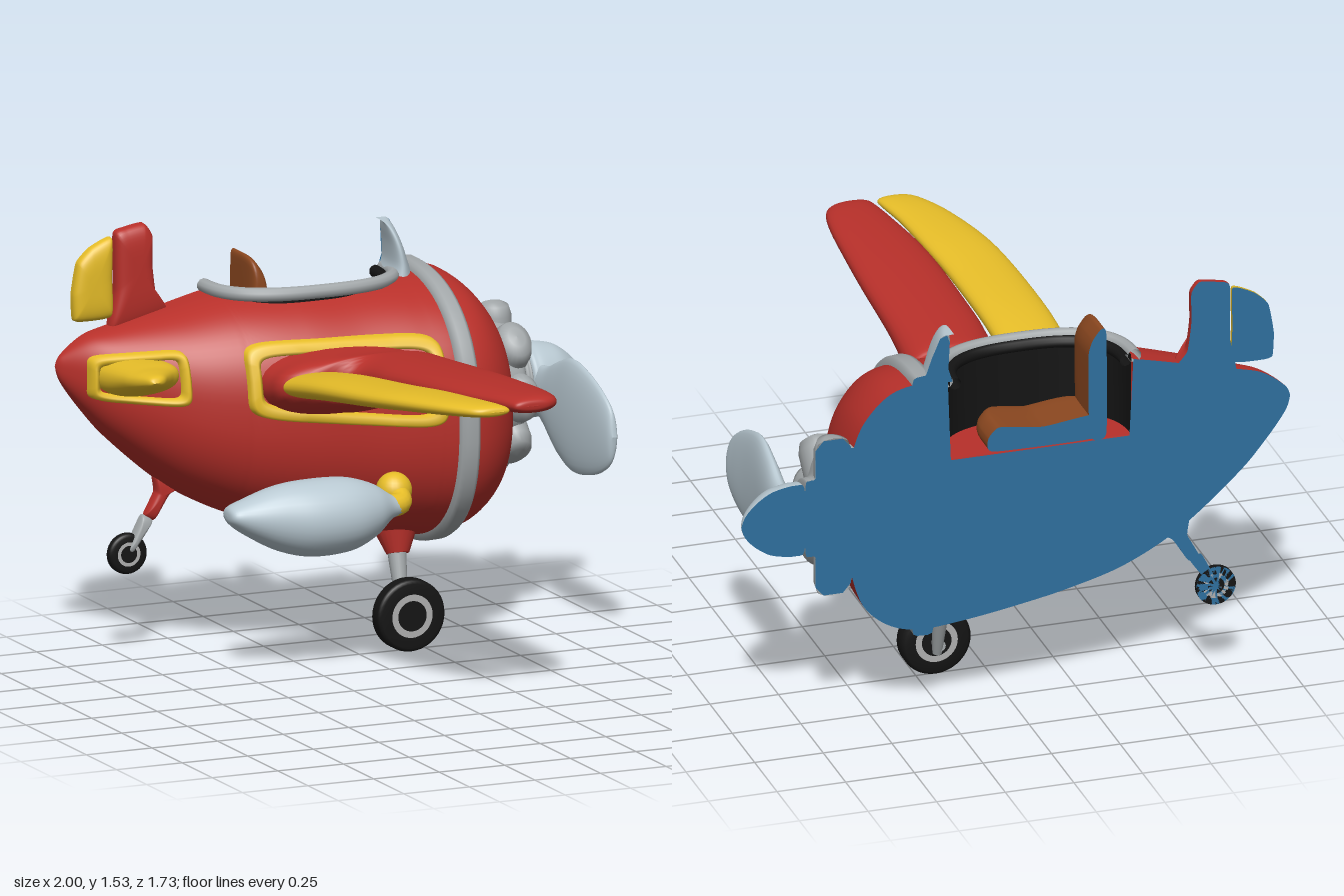
import * as THREE from 'three';

const CUT = -0.85; // the aircraft is halved along this z plane
const RED = 0xb8302a, YELLOW = 0xe6bd28, PALE = 0xb9c9d2, GREY = 0xa3a8aa;
const BLUE = 0x2f709f, BLACK = 0x141414, BROWN = 0x8c4820;
const V = (x, y, z) => new THREE.Vector3(x, y, z);

export function createModel() {
  const model = new THREE.Group();

  function add(name, geo, color, parent = model) {
    const m = new THREE.Mesh(geo, new THREE.MeshStandardMaterial({ color, side: THREE.DoubleSide }));
    m.name = name;
    parent.add(m);
    return m;
  }

  // Skin through a list of equally long point loops
  function loft(loops, closed = true) {
    const n = loops[0].length, idx = [];
    for (let i = 0; i < loops.length - 1; i++)
      for (let j = 0; j < (closed ? n : n - 1); j++) {
        const a = i * n + j, b = i * n + (j + 1) % n;
        idx.push(a, b, a + n, b, b + n, a + n);
      }
    const g = new THREE.BufferGeometry().setFromPoints(loops.flat());
    g.setIndex(idx);
    g.computeVertexNormals();
    return g;
  }

  // Smooth rows of numbers (Catmull-Rom on every column)
  function smooth(rows, steps) {
    const out = [], at = i => rows[Math.min(Math.max(i, 0), rows.length - 1)];
    for (let i = 0; i < rows.length - 1; i++)
      for (let s = 0; s < steps; s++) {
        const t = s / steps;
        out.push(rows[i].map((b, k) => {
          const a = at(i - 1)[k], c = at(i + 1)[k], d = at(i + 2)[k];
          return b + 0.5 * t * (c - a + t * (2 * a - 5 * b + 4 * c - d + t * (3 * (b - c) + d - a)));
        }));
      }
    out.push(rows[rows.length - 1]);
    return out;
  }

  const pw = (v, e) => Math.sign(v) * Math.abs(v) ** e;

  // Flat blue face on the cut plane
  function cap(name, pts) {
    add(name + 'CutFace', new THREE.ShapeGeometry(new THREE.Shape(pts.map(p => new THREE.Vector2(p[0], p[1])))), BLUE)
      .position.z = CUT;
  }

  // Half body lying along x; rows are [x, bottom, top, halfWidth]
  function halfHull(rows, e, hole = () => 0) {
    return loft(rows.map(([x, b, t, w]) => {
      const h = Math.min(hole(x) / Math.max(w, 1e-4), 1);
      const end = Math.PI - Math.asin(h ** (e / 2));
      return Array.from({ length: 41 }, (_, j) => {
        const a = end * j / 40;
        return V(x, (b + t) / 2 - (t - b) / 2 * pw(Math.cos(a), 2 / e), CUT + w * Math.abs(Math.sin(a)) ** (2 / e));
      });
    }), false);
  }
  const outline = rows => [...rows.map(r => [r[0], r[1]]), ...rows.map(r => [r[0], r[2]]).reverse()];
  function halfRound(name, color, rows, y) {
    const r = smooth(rows.map(([x, q]) => [x, y - q, y + q, q]), 6);
    add(name, halfHull(r, 2), color);
    cap(name, outline(r));
  }

  // Long part running along z; rows are [z, x0, x1, yCentre, halfHeight]
  function spar(name, color, rows, e = 2.3) {
    add(name, loft(smooth(rows, 6).map(([z, x0, x1, y, h]) => Array.from({ length: 32 }, (_, j) => {
      const a = j / 32 * Math.PI * 2;
      return V((x0 + x1) / 2 + (x1 - x0) / 2 * pw(Math.cos(a), 2 / e), y + h * pw(Math.sin(a), 2 / e), z);
    }))), color);
  }

  // Rounded slab growing from the cut plane out of an xy outline
  function slab(name, color, pts, depth, p = 5) {
    const o = new THREE.CatmullRomCurve3(pts.map(q => V(q[0], q[1], 0)), true, 'catmullrom', 0.25).getPoints(60).slice(0, -1);
    const c = o.reduce((s, q) => s.add(q), V(0, 0, 0)).divideScalar(o.length);
    add(name, loft(Array.from({ length: 13 }, (_, i) => {
      const a = i / 12 * Math.PI / 2, s = Math.cos(a) ** (2 / p);
      return o.map(q => V(c.x + (q.x - c.x) * s, c.y + (q.y - c.y) * s, CUT + depth * Math.sin(a) ** (2 / p)));
    })), color);
    cap(name, o.map(q => [q.x, q.y]));
  }

  // Fuselage with cockpit opening
  const E = 2.4;
  const hull = smooth([[-1, 1.05, 1.05, 0], [-0.98, 0.99, 1.09, 0.03], [-0.9, 0.88, 1.15, 0.11], [-0.8, 0.77, 1.18, 0.19],
    [-0.6, 0.6, 1.23, 0.32], [-0.4, 0.49, 1.275, 0.4], [-0.2, 0.43, 1.29, 0.45], [0, 0.39, 1.29, 0.48], [0.2, 0.36, 1.295, 0.515],
    [0.35, 0.35, 1.29, 0.53], [0.46, 0.38, 1.26, 0.5], [0.55, 0.46, 1.17, 0.42], [0.595, 0.58, 1.06, 0.31],
    [0.6, 0.67, 0.98, 0.2], [0.6, 0.83, 0.83, 0]], 14);
  const hole = x => {
    const u = Math.abs((x + 0.09) / 0.33);
    return u < 1 ? 0.245 * (1 - u ** 2.6) ** (1 / 2.6) : 0;
  };
  add('fuselage', halfHull(hull, E, hole), RED);
  cap('fuselage', outline(hull.map(r => (hole(r[0]) ? [r[0], r[1], 0.98] : r))));

  function section(x) {
    const i = Math.max(1, hull.findIndex(r => r[0] >= x)), a = hull[i - 1], b = hull[i];
    return a.map((v, k) => v + (b[k] - v) * (x - a[0]) / (b[0] - a[0] || 1));
  }
  function skinZ(x, y) {
    const [, b, t, w] = section(x), v = Math.min(Math.abs(y - (b + t) / 2) / ((t - b) / 2), 1);
    return CUT + w * (1 - v ** E) ** (1 / E);
  }

  // Hoop around the nose
  const hoop = [[0.3, 0], [0.305, 0.02], [0.32, 0.025], [0.36, 0.025], [0.372, 0.02], [0.377, 0]].map(([x, d]) => {
    const [, b, t, w] = section(x);
    return [x, b - d, t + d, w + d];
  });
  add('noseHoop', halfHull(hoop, E), GREY);
  cap('noseHoop', outline(hoop));

  // Cockpit well, floor, rim and padding
  const edge = Array.from({ length: 49 }, (_, i) => {
    const x = -0.09 - 0.33 * Math.cos(i / 48 * Math.PI);
    return V(x, 1.285, CUT + hole(x));
  });
  const level = (y, k = 1) => edge.map(p => V(-0.09 + (p.x + 0.09) * k, y, CUT + (p.z - CUT) * k));
  add('cockpitWall', loft([level(1.29), level(0.98)], false), BLACK);
  add('cockpitFloor', loft([level(0.985), level(0.985, 0.01)], false), RED);
  add('cockpitRim', new THREE.TubeGeometry(new THREE.CatmullRomCurve3(level(1.283, 1.04)), 80, 0.025, 10), GREY);
  add('cockpitPadding', new THREE.TubeGeometry(new THREE.CatmullRomCurve3(level(1.27, 0.94)), 80, 0.022, 10), BLACK);
  slab('seatCushion', BROWN, [[-0.3, 0.99], [0.08, 0.99], [0.1, 1.04], [0.06, 1.08], [-0.1, 1.06], [-0.3, 1.08]], 0.2);
  slab('seatBack', BROWN, [[-0.33, 1], [-0.27, 1], [-0.265, 1.3], [-0.28, 1.36], [-0.31, 1.4], [-0.33, 1.38]], 0.19);

  // Windshield, thinning towards the top
  add('windshield', loft(smooth([[1.28, 0.23, 0.34, 0.17], [1.32, 0.245, 0.325, 0.165], [1.38, 0.245, 0.305, 0.155],
    [1.43, 0.24, 0.285, 0.13], [1.455, 0.242, 0.268, 0.09], [1.46, 0.253, 0.255, 0]], 5).map(([y, x0, x1, w]) =>
    Array.from({ length: 21 }, (_, j) => {
      const a = j / 20 * Math.PI;
      return V((x0 + x1) / 2 + (x1 - x0) / 2 * Math.cos(a) - 0.03 * Math.sin(a), y, CUT + w * Math.sin(a));
    })), false), PALE);
  cap('windshield', [[0.23, 1.28], [0.34, 1.28], [0.305, 1.38], [0.275, 1.45], [0.25, 1.46], [0.24, 1.43], [0.245, 1.33]]);

  // Fin and rudder
  slab('fin', RED, [[-0.8, 1.15], [-0.58, 1.2], [-0.625, 1.27], [-0.64, 1.38], [-0.64, 1.49], [-0.67, 1.53], [-0.74, 1.52],
    [-0.78, 1.5], [-0.78, 1.3]], 0.055, 3.5);
  slab('rudder', YELLOW, [[-0.9, 1.2], [-0.79, 1.21], [-0.79, 1.35], [-0.79, 1.49], [-0.87, 1.46], [-0.92, 1.41], [-0.94, 1.3], [-0.935, 1.21]], 0.045, 3.5);

  // Raised yellow frames that follow the fuselage skin
  function skinFrame(name, x0, x1, yl, hl, yr, hr, width) {
    const ring = (inset, lift) => Array.from({ length: 96 }, (_, j) => {
      const a = j / 96 * Math.PI * 2, u = pw(Math.cos(a), 0.28), v = pw(Math.sin(a), 0.28), f = (u + 1) / 2;
      const x = (x0 + x1) / 2 + ((x1 - x0) / 2 - inset) * u;
      const y = yl + (yr - yl) * f + (hl + (hr - hl) * f - inset) * v;
      return V(x, y, skinZ(x, y) + lift);
    });
    add(name, loft([ring(0, -0.01), ring(0.003, 0.02), ring(0.012, 0.03), ring(width - 0.012, 0.03), ring(width, 0.02), ring(width, -0.01)]), YELLOW);
  }
  skinFrame('wingFrame', -0.44, 0.26, 1.02, 0.13, 0.98, 0.165, 0.045);
  skinFrame('tailplaneFrame', -0.92, -0.62, 1.02, 0.08, 1.03, 0.1, 0.03);

  // Wing, flap and tailplane
  spar('wing', RED, [[-0.54, -0.4, 0.21, 1, 0.12], [-0.42, -0.39, 0.21, 1, 0.12], [-0.33, -0.38, 0.21, 1.02, 0.1],
    [-0.27, -0.3, 0.2, 1.035, 0.09], [-0.22, -0.15, 0.195, 1.05, 0.085], [0, -0.135, 0.185, 1.085, 0.068], [0.3, -0.12, 0.185, 1.12, 0.055],
    [0.5, -0.1, 0.18, 1.14, 0.047], [0.7, -0.06, 0.17, 1.158, 0.038], [0.81, -0.035, 0.15, 1.165, 0.032],
    [0.85, -0.02, 0.11, 1.167, 0.02], [0.857, 0.02, 0.06, 1.167, 0]]);
  spar('flap', YELLOW, [[-0.265, -0.39, -0.2, 1.04, 0], [-0.26, -0.4, -0.17, 1.04, 0.035], [-0.22, -0.4, -0.16, 1.045, 0.045],
    [0, -0.395, -0.155, 1.08, 0.045], [0.3, -0.37, -0.135, 1.115, 0.04], [0.5, -0.335, -0.11, 1.138, 0.036], [0.7, -0.27, -0.085, 1.155, 0.03],
    [0.82, -0.21, -0.06, 1.162, 0.024], [0.865, -0.17, -0.055, 1.163, 0.016], [0.875, -0.12, -0.08, 1.163, 0]]);
  spar('tailplane', YELLOW, [[-0.78, -0.9, -0.64, 1.02, 0.07], [-0.68, -0.89, -0.64, 1.025, 0.07], [-0.58, -0.88, -0.65, 1.04, 0.055],
    [-0.52, -0.875, -0.7, 1.05, 0.042], [-0.46, -0.865, -0.745, 1.06, 0.033], [-0.4, -0.85, -0.785, 1.07, 0.02], [-0.38, -0.835, -0.82, 1.07, 0]]);

  // Radial engine with rounded cylinders
  halfRound('engineCore', GREY, [[0.58, 0.25], [0.68, 0.24], [0.71, 0.2], [0.73, 0.15], [0.75, 0.145], [0.765, 0.13], [0.77, 0]], 0.83);
  const jug = [[0.06, 0.1], [0.066, 0.16], [0.066, 0.25], [0.055, 0.285], [0.03, 0.297], [0, 0.3]].map(p => new THREE.Vector2(...p));
  for (let i = 0; i <= 4; i++) {
    const start = i === 0 || i === 4;
    const m = add('engineCylinder', new THREE.LatheGeometry(jug, 24, start ? -Math.PI / 2 : 0, start ? Math.PI : Math.PI * 2), GREY);
    m.scale.z = 1.3;
    m.position.set(0.665, 0.825, CUT);
    m.rotation.x = i * Math.PI / 4;
    if (i === 4) m.rotation.set(0, 0, Math.PI);
  }
  for (const s of [1, -1]) cap('engineCylinder', [[0.6, 0.825 + 0.15 * s], [0.73, 0.825 + 0.15 * s], [0.73, 0.825 + 0.26 * s],
    [0.7, 0.825 + 0.295 * s], [0.63, 0.825 + 0.295 * s], [0.6, 0.825 + 0.26 * s]]);

  // Spinner and propeller blade
  halfRound('spinner', PALE, [[0.765, 0], [0.77, 0.12], [0.8, 0.135], [0.85, 0.13], [0.9, 0.115], [0.95, 0.08], [0.985, 0.04], [1, 0]], 0.83);
  spar('propellerBlade', PALE, [[-0.78, 0.77, 0.85, 0.82, 0.08], [-0.68, 0.765, 0.845, 0.8, 0.11], [-0.58, 0.762, 0.84, 0.785, 0.165],
    [-0.47, 0.765, 0.835, 0.782, 0.2], [-0.36, 0.775, 0.835, 0.775, 0.185], [-0.26, 0.79, 0.84, 0.765, 0.145],
    [-0.2, 0.805, 0.843, 0.76, 0.09], [-0.18, 0.82, 0.835, 0.76, 0]], 2);

  // Drop tank on a yellow mount
  add('dropTank', loft(smooth([[-0.61, 0.6, 0, 0], [-0.6, 0.6, 0.03, 0.05], [-0.54, 0.59, 0.065, 0.075], [-0.42, 0.575, 0.115, 0.11],
    [-0.3, 0.565, 0.135, 0.135], [-0.16, 0.565, 0.13, 0.13], [-0.06, 0.57, 0.095, 0.095], [0.01, 0.575, 0.045, 0.045],
    [0.06, 0.57, 0.022, 0.022], [0.085, 0.57, 0, 0]], 6).map(([x, y, h, w]) => Array.from({ length: 32 }, (_, j) => {
    const a = j / 32 * Math.PI * 2;
    return V(x, y + h * Math.cos(a), -0.27 + w * Math.sin(a));
  }))), PALE);
  add('tankMount', new THREE.TubeGeometry(new THREE.CatmullRomCurve3([V(0.07, 0.61, -0.46), V(0.07, 0.605, -0.35), V(0.06, 0.58, -0.29),
    V(0, 0.575, -0.27)]), 20, 0.04, 16), YELLOW);
  add('tankMountBall', new THREE.SphereGeometry(0.063, 24, 16), YELLOW).position.set(0.068, 0.61, -0.36);

  // Landing gear
  function rod(name, color, a, b, r0, r1) {
    const m = add(name, new THREE.CylinderGeometry(r1, r0, a.distanceTo(b), 20), color);
    m.position.copy(a).lerp(b, 0.5);
    m.quaternion.setFromUnitVectors(V(0, 1, 0), b.clone().sub(a).normalize());
  }
  function wheel(name, x, y, z, r, depth, half) {
    const g = new THREE.Group();
    g.name = name;
    g.position.set(x, y, z);
    g.rotation.x = Math.PI / 2;
    model.add(g);
    const lo = half ? 0 : -depth, c = depth * 0.4;
    const tyre = [[0.6 * r, lo], [half ? r : r - c, lo], [r, half ? 0 : lo + c], [r, depth - c], [r - c * 0.3, depth - c * 0.3], [r - c, depth], [0.6 * r, depth]];
    add('tyre', new THREE.LatheGeometry(tyre.map(p => new THREE.Vector2(...p)), 40), BLACK, g);
    const disc = (n, q, d, col) => {
      add(n, new THREE.CylinderGeometry(q, q, d - (half ? 0 : -d), 32), col, g).position.y = half ? d / 2 : 0;
    };
    disc('wheelRim', 0.66 * r, depth * 0.98, 0xb0b0b0);
    disc('wheelHub', 0.42 * r, depth * 1.02, BLACK);
  }
  wheel('mainWheel', 0.18, 0.13, -0.485, 0.128, 0.035, false);
  rod('mainStrut', GREY, V(0.185, 0.1, -0.54), V(0.195, 0.36, -0.62), 0.017, 0.036);
  rod('mainAxle', GREY, V(0.18, 0.13, -0.56), V(0.18, 0.13, -0.48), 0.02, 0.02);
  rod('mainStrutFairing', RED, V(0.195, 0.32, -0.605), V(0.2, 0.42, -0.64), 0.04, 0.085);
  wheel('tailWheel', -0.73, 0.36, CUT, 0.072, 0.03, true);
  cap('tailWheel', Array.from({ length: 32 }, (_, i) => [-0.73 + 0.072 * Math.cos(i * Math.PI / 16), 0.36 + 0.072 * Math.sin(i * Math.PI / 16)]));
  slab('tailFork', GREY, [[-0.735, 0.37], [-0.715, 0.36], [-0.635, 0.47], [-0.675, 0.49]], 0.04, 3);
  slab('tailStrut', RED, [[-0.665, 0.49], [-0.63, 0.47], [-0.57, 0.56], [-0.5, 0.6], [-0.63, 0.65], [-0.625, 0.57]], 0.04, 3);

  return model;
}
